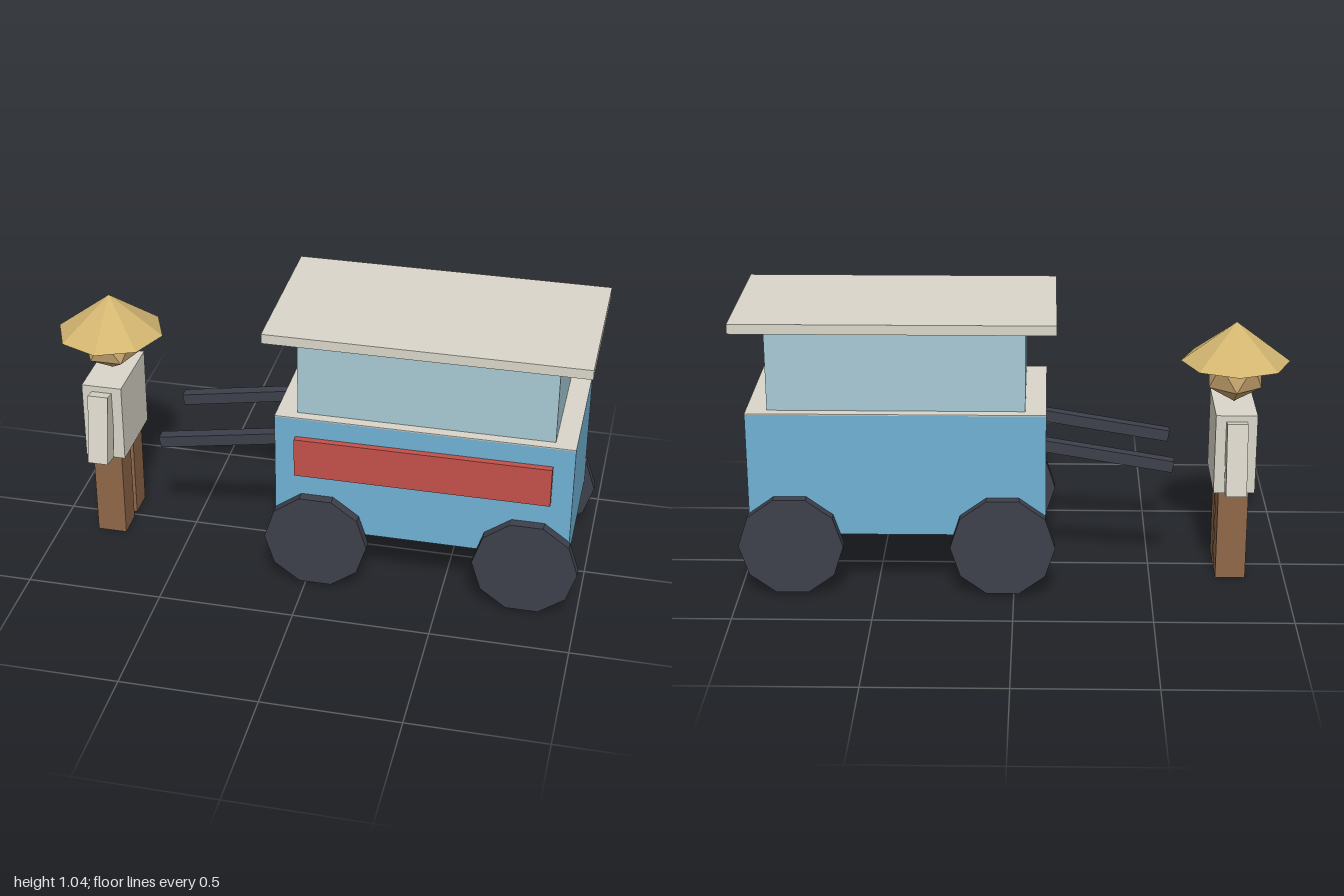
import * as THREE from 'three';

const mat = (color) => new THREE.MeshStandardMaterial({ color, flatShading: true });

export function createModel() {
  const model = new THREE.Group();
  const blue = mat(0x6fb1d3), glass = mat(0xa8cad5), cream = mat(0xdad6ca), red = mat(0xc4504a);
  const dark = mat(0x3d404b), brown = mat(0x8f6849), straw = mat(0xd2b570), skin = mat(0xc9a570);

  const add = (parent, name, geometry, material, x, y, z) => {
    const mesh = new THREE.Mesh(geometry, material);
    mesh.name = name;
    mesh.position.set(x, y, z);
    parent.add(mesh);
    return mesh;
  };
  const box = (parent, name, w, h, d, material, x, y, z) =>
    add(parent, name, new THREE.BoxGeometry(w, h, d), material, x, y, z);

  // Cart: body, counter top, display case, roof and front panel
  const cart = new THREE.Group();
  cart.name = 'cart';
  model.add(cart);
  box(cart, 'cartBody', 1.07, 0.458, 0.536, blue, 0.42, 0.459, 0);
  box(cart, 'counterTop', 1.07, 0.004, 0.536, cream, 0.42, 0.69, 0);
  box(cart, 'displayCase', 0.92, 0.31, 0.46, glass, 0.42, 0.845, 0);
  box(cart, 'roof', 1.145, 0.036, 0.612, cream, 0.423, 1.018, 0);
  box(cart, 'frontPanel', 0.92, 0.15, 0.025, red, 0.42, 0.54, 0.28);

  // Ten-sided wheels with a corner pointing along x
  const wheel = new THREE.CylinderGeometry(0.19, 0.19, 0.037, 10);
  wheel.rotateY(Math.PI / 10).rotateX(Math.PI / 2);
  for (const side of [-1, 1]) {
    for (const x of [0.04, 0.805]) add(cart, 'wheel', wheel, dark, x, 0.195, side * 0.287);
    // Sloping pull handle
    const handle = box(cart, 'handle', 0.48, 0.043, 0.043, dark, -0.337, 0.502, side * 0.156);
    handle.rotation.z = 0.167;
  }

  // Vendor standing beside the handles
  const vendor = new THREE.Group();
  vendor.name = 'vendor';
  vendor.position.x = -0.8;
  model.add(vendor);
  box(vendor, 'torso', 0.15, 0.3, 0.29, cream, 0, 0.5, 0);
  for (const side of [-1, 1]) {
    box(vendor, 'leg', 0.11, 0.352, 0.107, brown, 0, 0.176, side * 0.07);
    const arm = box(vendor, 'arm', 0.075, 0.265, 0.07, cream, 0, 0.498, side * 0.18);
    arm.rotation.x = -side * 0.175;
  }

  // Faceted head balanced on one corner
  const head = new THREE.IcosahedronGeometry(0.112, 0);
  head.rotateZ(-Math.atan(2 / (1 + Math.sqrt(5)))).rotateY(-Math.PI / 2);
  add(vendor, 'head', head, skin, 0, 0.767, 0);

  // Conical straw hat
  add(vendor, 'hat', new THREE.ConeGeometry(0.198, 0.148, 8), straw, 0, 0.884, 0);

  return model;
}
